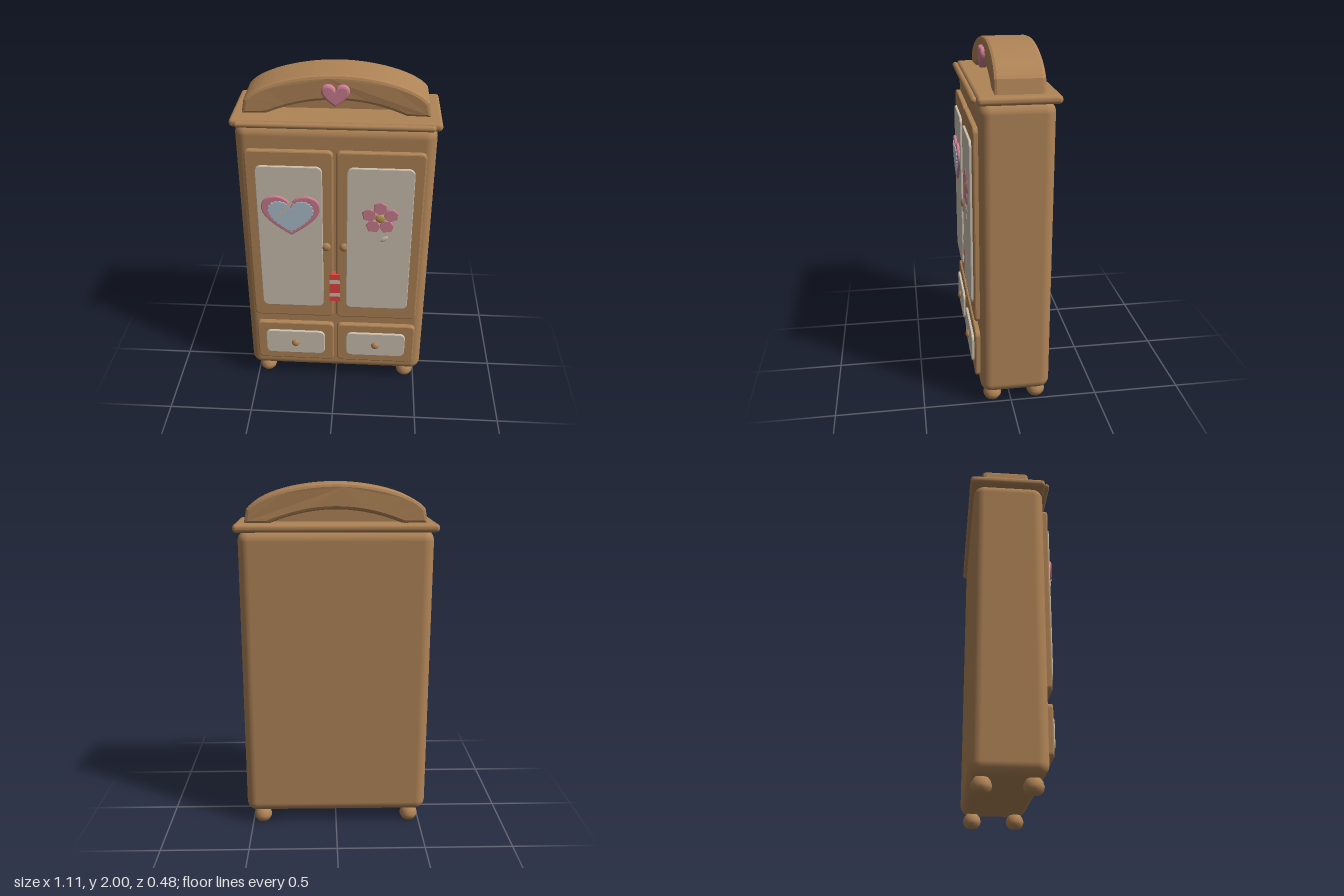
import * as THREE from 'three';
import { RoundedBoxGeometry } from 'three/addons/geometries/RoundedBoxGeometry.js';

const mat = (name, color) => Object.assign(new THREE.MeshStandardMaterial({ color }), { name });

export function createModel() {
  const wood = mat('wood', 0xb08457);
  const cream = mat('cream', 0xcec3b2);
  const pink = mat('pink', 0xcf7f92);
  const blue = mat('mirrorBlue', 0xb4c6d2);
  const red = mat('red', 0xe8453f);
  const gold = mat('gold', 0xc09a50);

  const root = new THREE.Group();
  root.name = 'wardrobe';
  const add = (name, geo, material, x = 0, y = 0, z = 0, parent = root) => {
    const m = new THREE.Mesh(geo, material);
    m.name = name;
    m.position.set(x, y, z);
    parent.add(m);
    return m;
  };

  // Extrusion from z = 0 to depth, with the bevel kept inside the outline
  const slab = (shape, depth, bevel, curveSegments = 8) => {
    const g = new THREE.ExtrudeGeometry(shape, {
      depth: depth - 2 * bevel, bevelThickness: bevel, bevelSize: bevel,
      bevelOffset: -bevel, bevelSegments: 2, curveSegments,
    });
    return g.translate(0, 0, bevel);
  };

  const roundRect = (x0, x1, y0, y1, r) => {
    const s = new THREE.Shape();
    s.absarc(x1 - r, y0 + r, r, -Math.PI / 2, 0);
    s.absarc(x1 - r, y1 - r, r, 0, Math.PI / 2);
    s.absarc(x0 + r, y1 - r, r, Math.PI / 2, Math.PI);
    s.absarc(x0 + r, y0 + r, r, Math.PI, Math.PI * 1.5);
    return s;
  };

  // Heart of the given width and height, centred on the origin
  const heart = (w, h) => {
    const a = w / 2, b = h / 2;
    const s = new THREE.Shape();
    s.moveTo(0, -b);
    s.bezierCurveTo(a * 0.45, -b * 0.62, a, -b * 0.1, a, b * 0.42);
    s.bezierCurveTo(a, b * 1.14, a * 0.2, b * 1.24, 0, b * 0.58);
    s.bezierCurveTo(-a * 0.2, b * 1.24, -a, b * 1.14, -a, b * 0.42);
    s.bezierCurveTo(-a, -b * 0.1, -a * 0.45, -b * 0.62, 0, -b);
    return s;
  };

  // Cabinet body
  add('body', new RoundedBoxGeometry(1.07, 1.68, 0.395, 5, 0.06), wood, 0, 0.915, -0.022);

  // Ball feet with flat soles
  const footProfile = [[0, 0], [0.036, 0], [0.049, 0.018], [0.053, 0.036], [0.046, 0.06], [0.03, 0.08], [0, 0.092]];
  const footGeo = new THREE.LatheGeometry(footProfile.map(p => new THREE.Vector2(...p)), 16);
  for (const x of [-0.443, 0.443]) for (const z of [-0.152, 0.103]) add('foot', footGeo, wood, x, 0, z);

  // Cornice and its front rail
  add('cornice', new RoundedBoxGeometry(1.11, 0.045, 0.428, 2, 0.02), wood, 0, 1.768, -0.028);
  const rail = add('corniceRail', new THREE.CapsuleGeometry(0.017, 1.01, 4, 10), wood, -0.003, 1.77, 0.198);
  rail.rotation.z = Math.PI / 2;

  // Arched crown, open below, bowed gently backwards
  const arch = new THREE.Shape();
  arch.moveTo(-0.5, 1.785);
  arch.lineTo(-0.485, 1.865);
  arch.bezierCurveTo(-0.42, 1.945, -0.2, 2, 0, 2);
  arch.bezierCurveTo(0.2, 2, 0.42, 1.945, 0.485, 1.865);
  arch.lineTo(0.5, 1.785);
  arch.lineTo(0.37, 1.785);
  arch.quadraticCurveTo(0, 1.94, -0.37, 1.785);
  arch.closePath();
  const archGeo = slab(arch, 0.265, 0.018, 14);
  const p = archGeo.attributes.position;
  for (let i = 0; i < p.count; i++) p.setZ(i, p.getZ(i) - 0.167 - 0.013 * (1 - (p.getX(i) / 0.5) ** 2));
  archGeo.computeVertexNormals();
  add('crownArch', archGeo, wood);
  add('crownInfill', new THREE.BoxGeometry(0.72, 0.09, 0.1), wood, 0, 1.825, -0.04);
  add('crownHeart', slab(heart(0.15, 0.118), 0.045, 0.012), pink, -0.003, 1.895, 0.066);

  // Doors and drawers with inset-coloured panels
  const front = (name, x0, x1, y0, y1, px0, px1, py0, py1) => {
    add(name, slab(roundRect(x0, x1, y0, y1, 0.03), 0.04, 0.008), wood, 0, 0, 0.163);
    add(name + 'Panel', slab(roundRect(px0, px1, py0, py1, 0.035), 0.02, 0.004), cream, 0, 0, 0.197);
  };
  front('rightDoor', -0.486, -0.01, 0.52, 1.625, -0.43, -0.068, 0.607, 1.54);
  front('leftDoor', 0.005, 0.484, 0.52, 1.625, 0.065, 0.428, 0.607, 1.54);
  front('rightDrawer', -0.483, -0.008, 0.17, 0.458, -0.428, -0.064, 0.228, 0.402);
  front('leftDrawer', 0.01, 0.486, 0.17, 0.458, 0.068, 0.43, 0.228, 0.402);

  // Knobs
  const knobGeo = new THREE.SphereGeometry(1, 14, 10);
  for (const [x, y, z, r, d] of [[-0.05, 1.03, 0.204, 0.027, 0.018], [0.052, 1.03, 0.204, 0.027, 0.018],
    [-0.245, 0.313, 0.218, 0.024, 0.018], [0.248, 0.313, 0.218, 0.024, 0.018]]) {
    add('knob', knobGeo, wood, x, y, z).scale.set(r, r, d);
  }

  // Heart mirror with stitched edge and glints
  const mirror = new THREE.Group();
  mirror.name = 'heartMirror';
  mirror.position.set(-0.242, 1.241, 0.212);
  mirror.rotation.x = 0.03;
  root.add(mirror);
  add('mirrorFrame', slab(heart(0.325, 0.248), 0.018, 0.006, 14), pink, 0, 0, 0, mirror);
  const stitched = heart(0.252, 0.196).getPoints(14).map((v, i) => v.multiplyScalar(i % 2 ? 0.96 : 1.02));
  add('mirrorGlass', slab(new THREE.Shape(stitched), 0.008, 0.001), blue, 0, -0.002, 0.015, mirror);
  for (const [x, y, l] of [[-0.033, 0.05, 0.085], [-0.004, 0.077, 0.04]]) {
    add('mirrorGlint', new THREE.BoxGeometry(0.014, l, 0.004), cream, x, y, 0.024, mirror).rotation.z = -0.65;
  }

  // Flower with five six-sided petals, stem and leaf
  const flower = new THREE.Group();
  flower.name = 'flower';
  flower.position.set(0.25, 1.238, 0.214);
  root.add(flower);
  const petalGeo = new THREE.CylinderGeometry(0.038, 0.046, 0.01, 6).rotateX(Math.PI / 2);
  for (let i = 0; i < 5; i++) {
    const a = Math.PI / 2 + i * Math.PI * 0.4;
    add('petal', petalGeo, pink, 0.063 * Math.cos(a), 0.063 * Math.sin(a), 0.004, flower).rotation.z = a + Math.PI / 2;
  }
  add('flowerCentre', knobGeo, gold, 0, 0, 0.006, flower).scale.set(0.026, 0.026, 0.008);
  add('stem', new THREE.BoxGeometry(0.014, 0.14, 0.008), cream, 0, -0.12, 0.003, flower);
  const leaf = add('leaf', knobGeo, cream, 0.025, -0.135, 0.003, flower);
  leaf.scale.set(0.028, 0.013, 0.006);
  leaf.rotation.z = 0.6;

  // Striped ribbon hanging between the doors
  const bands = [0.645, 0.68, 0.707, 0.773, 0.802, 0.84];
  for (let i = 0; i < 5; i++) {
    add(i % 2 ? 'ribbonPaleBand' : 'ribbonRedBand', new THREE.BoxGeometry(0.062, bands[i + 1] - bands[i], 0.045),
      i % 2 ? cream : red, -0.002, (bands[i] + bands[i + 1]) / 2, 0.189);
  }
  return root;
}
